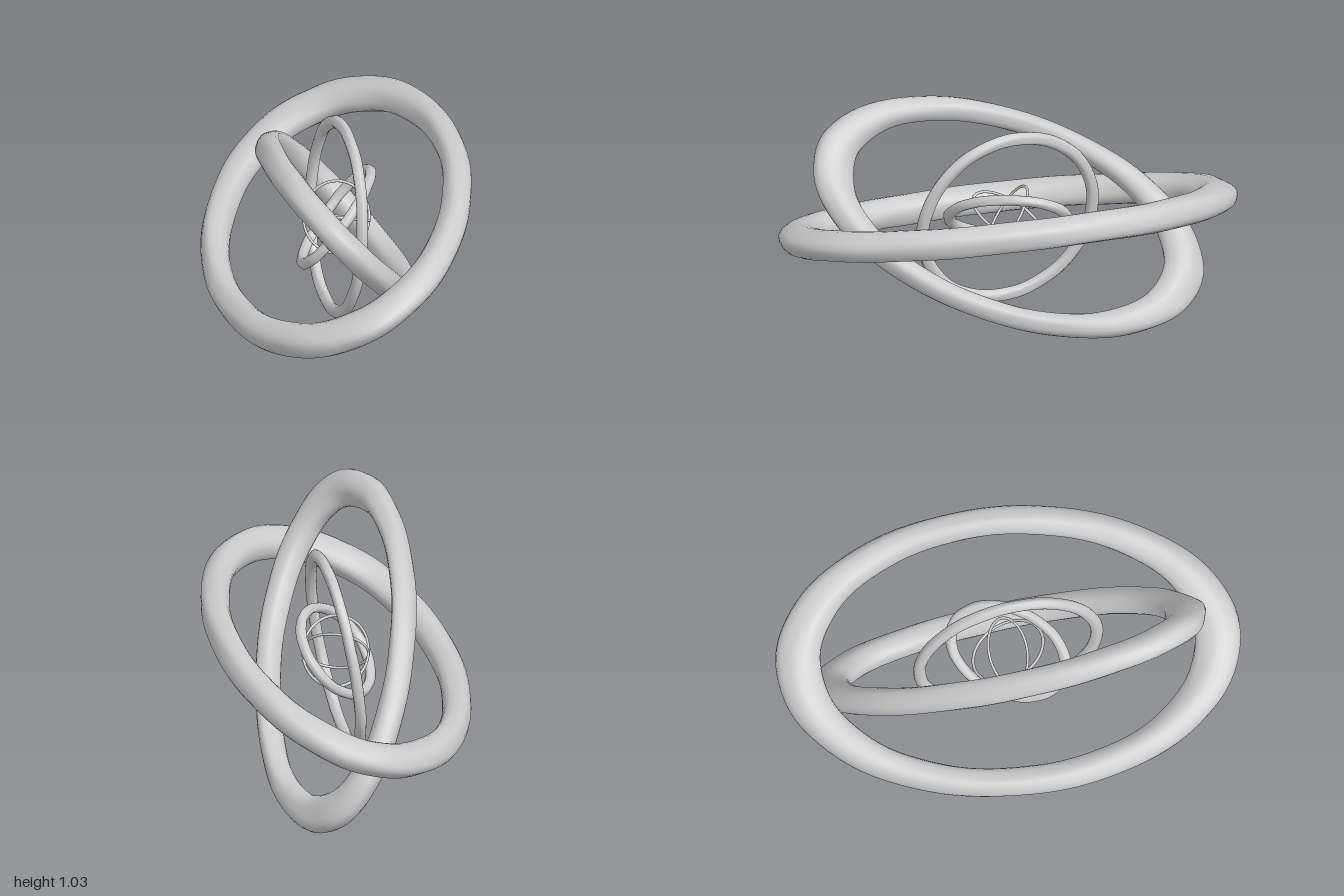
import * as THREE from 'three';

const CENTRE_Y = 0.515;

// Closed elliptical hoop. p and q span the centreline ellipse, k is the in-plane
// thickness as a share of the radius, h the half thickness across the plane.
function hoopGeometry(p, q, k, h, segments, sides, wobble) {
  const P = new THREE.Vector3(...p);
  const Q = new THREE.Vector3(...q);
  const N = new THREE.Vector3().crossVectors(P, Q).normalize();
  const positions = [];
  const indices = [];
  for (let i = 0; i < segments; i++) {
    const t = (i / segments) * Math.PI * 2;
    const spoke = P.clone().multiplyScalar(Math.cos(t)).addScaledVector(Q, Math.sin(t));
    for (let j = 0; j < sides; j++) {
      const a = (j / sides) * Math.PI * 2;
      // shallow grooves along the hoop that drift slowly, like hand-rolled clay
      const lump = 1 + wobble * (Math.sin(5 * a + 2 * Math.sin(2 * t))
        + 0.6 * Math.sin(3 * a + 5 * t) + 0.5 * Math.sin(13 * t + a));
      const v = spoke.clone().multiplyScalar(1 + k * lump * Math.cos(a))
        .addScaledVector(N, h * lump * Math.sin(a));
      positions.push(v.x, v.y, v.z);
      const i2 = (i + 1) % segments;
      const j2 = (j + 1) % sides;
      const A = i * sides + j, B = i2 * sides + j, C = i2 * sides + j2, D = i * sides + j2;
      indices.push(A, B, C, A, C, D);
    }
  }
  const geometry = new THREE.BufferGeometry();
  geometry.setAttribute('position', new THREE.Float32BufferAttribute(positions, 3));
  geometry.setIndex(indices);
  geometry.computeVertexNormals();
  return geometry;
}

export function createModel() {
  const group = new THREE.Group();
  group.name = 'nestedRings';
  const material = new THREE.MeshStandardMaterial({ color: 0xcccccc });

  // From the widest hoop to the fine wire loops in the middle
  const hoops = [
    { name: 'outerRing', p: [0, 0, 0.9], q: [0.515, 0.222, 0], k: 0.108, h: 0.066, wobble: 0.035 },
    { name: 'secondRing', p: [0, 0.294, 0.765], q: [0.285, -0.34, 0], k: 0.11, h: 0.06, wobble: 0.035 },
    { name: 'uprightRing', p: [0.065, 0, 0.385], q: [0.045, 0.415, 0], k: 0.068, h: 0.024, wobble: 0.05 },
    { name: 'innerRing', p: [-0.07, 0, 0.24], q: [0.14, 0.17, 0], k: 0.1, h: 0.022, wobble: 0.05 },
    { name: 'wireLoopFront', p: [0, 0.09, 0.15], q: [0.14, -0.02, 0.01], k: 0.04, h: 0.006, wobble: 0 },
    { name: 'wireLoopBack', p: [0, 0.128, -0.085], q: [0.14, 0.015, 0.015], k: 0.04, h: 0.006, wobble: 0 },
  ];
  for (const { name, p, q, k, h, wobble } of hoops) {
    const mesh = new THREE.Mesh(hoopGeometry(p, q, k, h, 96, 20, wobble), material);
    mesh.name = name;
    mesh.position.y = CENTRE_Y;
    group.add(mesh);
  }
  return group;
}
